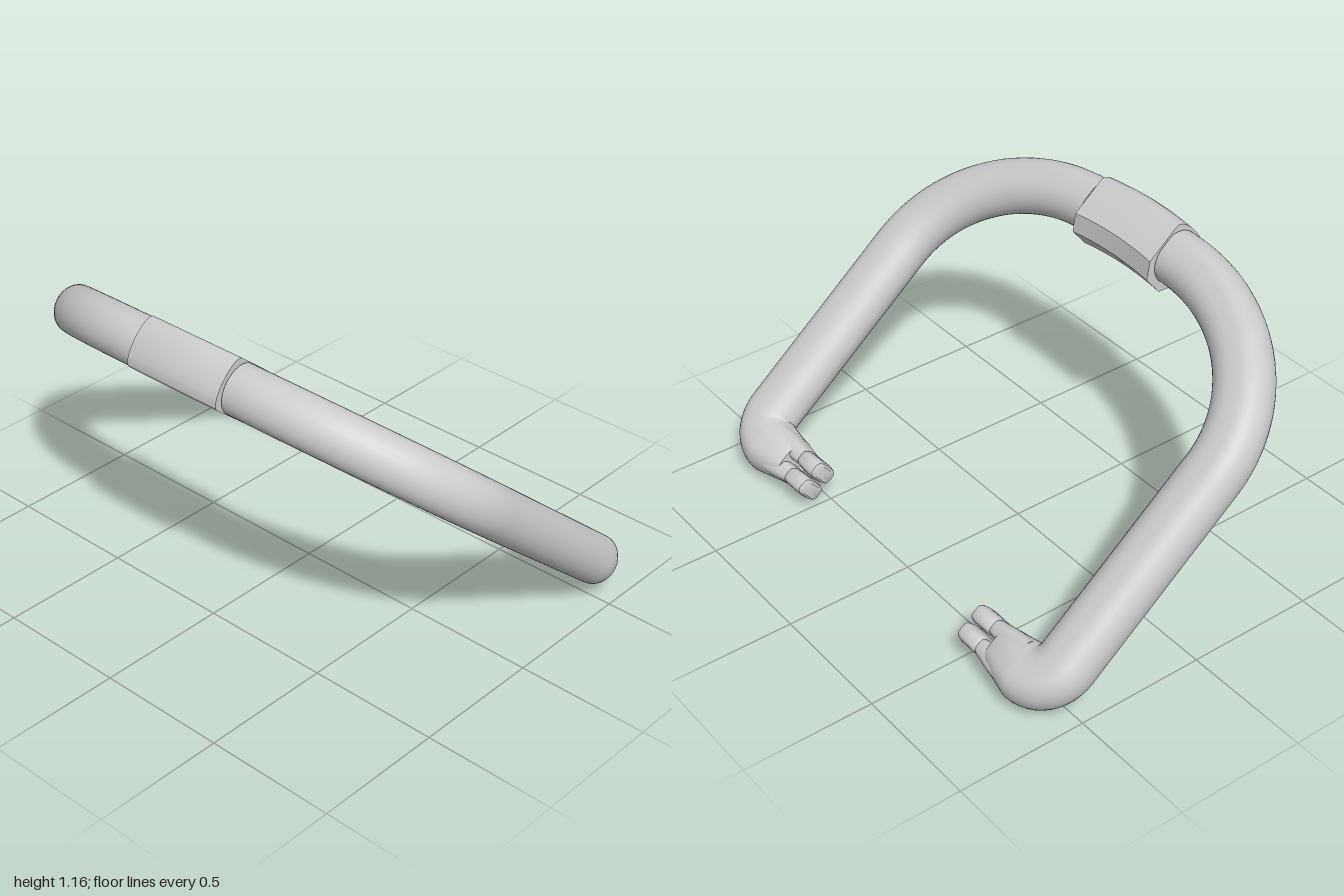
import * as THREE from 'three';
import { toCreasedNormals } from 'three/addons/utils/BufferGeometryUtils.js';

const material = new THREE.MeshStandardMaterial({ color: 0xcccccc });

// Sweep a section [u outward, n across] along stations { p: [x, y], t: [x, y], a, b }, with capped ends.
function sweep(name, stations, section, crease = 0.6) {
  const pos = [], index = [], m = section.length;
  for (const { p, t, a = 1, b = 1 } of stations)
    for (const [u, n] of section) pos.push(p[0] - t[1] * u * a, p[1] + t[0] * u * a, n * b);
  for (let i = 0; i < stations.length - 1; i++)
    for (let j = 0; j < m; j++) {
      const k = (j + 1) % m, q = i * m, r = q + m;
      index.push(q + j, q + k, r + j, q + k, r + k, r + j);
    }
  const last = (stations.length - 1) * m, c = pos.length / 3;
  pos.push(...stations[0].p, 0, ...stations[stations.length - 1].p, 0);
  for (let j = 0; j < m; j++) {
    const k = (j + 1) % m;
    index.push(c, k, j, c + 1, last + j, last + k);
  }
  const g = new THREE.BufferGeometry();
  g.setAttribute('position', new THREE.Float32BufferAttribute(pos, 3));
  g.setIndex(index);
  const mesh = new THREE.Mesh(toCreasedNormals(g, crease), material);
  mesh.name = name;
  return mesh;
}

// Points on an elliptical arc
function arc(cx, cy, rx, ry, from, to, steps) {
  return Array.from({ length: steps + 1 }, (_, i) => {
    const w = from + (to - from) * i / steps;
    return [cx + rx * Math.cos(w), cy + ry * Math.sin(w)];
  });
}

// Flattened round tube, fuller on the outside
const H = Math.PI / 2;
const tubeSection = [
  ...arc(0.03, 0, 0.08, 0.092, -H, H, 16),
  ...arc(-0.01, 0, 0.1, 0.092, H, 3 * H, 16),
];
// Clip: flat faces, curved outside, chamfered inside
const clipSection = [
  ...arc(0.11, 0, 0.036, 0.094, -H, H, 10),
  [-0.045, 0.094], [-0.1, 0.045], [-0.1, -0.045], [-0.045, -0.094],
];
// Rounded box section for the prongs
const prongSection = Array.from({ length: 20 }, (_, i) => {
  const w = i / 20 * Math.PI * 2, c = Math.cos(w), s = Math.sin(w);
  return [Math.sign(c) * Math.abs(c) ** 0.6, Math.sign(s) * Math.abs(s) ** 0.6];
});

function tubeStations() {
  const list = [{ p: [0.211, 1.085], t: [1, 0], a: 0.94 }];
  const turn = (cx, cy, rx, ry, from, to, steps, a0) => {
    for (let i = 0; i <= steps; i++) {
      const w = from + (to - from) * i / steps;
      const t = new THREE.Vector2(rx * Math.sin(w), -ry * Math.cos(w)).normalize();
      list.push({
        p: [cx + rx * Math.cos(w), cy + ry * Math.sin(w)], t: [t.x, t.y],
        a: a0 + (1 - a0) * i / steps,
      });
    }
  };
  turn(0.22, 0.54, 0.67, 0.545, H, 0, 32, 0.94);   // wide shoulder, slimmer at the top
  turn(0.78, -0.24, 0.11, 0.11, 0, -H, 12, 1);     // tight lower corner
  for (const [x, y, a, b] of [[0.72, -0.348, 0.89, 0.89], [0.66, -0.345, 0.78, 0.78], [0.64, -0.344, 0.7, 0.68]])
    list.push({ p: [x, y], t: [-1, 0], a, b });    // tapering arm
  return list;
}

// One prong of the hooked end, with a swollen tip
function prong(name, y0, y1) {
  const profile = [
    [0.76, 0.044, 0.066], [0.68, 0.042, 0.062], [0.60, 0.033, 0.054], [0.592, 0.030, 0.052],
    [0.585, 0.034, 0.056], [0.51, 0.036, 0.058], [0.495, 0.032, 0.054], [0.489, 0.024, 0.044],
  ];
  return sweep(name, profile.map(([x, a, b]) => ({
    p: [x, y0 + (y1 - y0) * Math.min(1, (0.76 - x) / 0.2)], t: [-1, 0], a, b,
  })), prongSection);
}

function half(name) {
  const g = new THREE.Group();
  g.name = name;
  g.add(sweep('handleTube', tubeStations(), tubeSection));
  g.add(prong('innerProng', -0.295, -0.304), prong('outerProng', -0.4, -0.38));
  return g;
}

export function createModel() {
  const frame = new THREE.Group();
  frame.name = 'handle';
  const left = half('leftHalf'), right = half('rightHalf');
  right.scale.x = -1;
  frame.add(left, right);

  // Gently bowed centre clip and the core that joins it to the tubes
  const bow = [];
  for (let i = 0; i <= 12; i++) {
    const k = i / 6 - 1;
    bow.push({ p: [k * 0.206, 1.066 - 0.012 * k * k], t: [1, 0] });
  }
  frame.add(sweep('centreClip', bow, clipSection, 0.5));
  frame.add(sweep('clipCore', [-0.23, 0.23].map((x) => ({ p: [x, 1.075], t: [1, 0], a: 0.8, b: 0.8 })), tubeSection));

  // Lean the frame forward and rest it on the ground
  frame.rotation.x = THREE.MathUtils.degToRad(50.3);
  const model = new THREE.Group();
  model.name = 'clipHandle';
  model.add(frame);
  model.updateMatrixWorld(true);
  const box = new THREE.Box3().setFromObject(model, true);
  frame.position.set(0, -box.min.y, -(box.min.z + box.max.z) / 2);
  return model;
}
